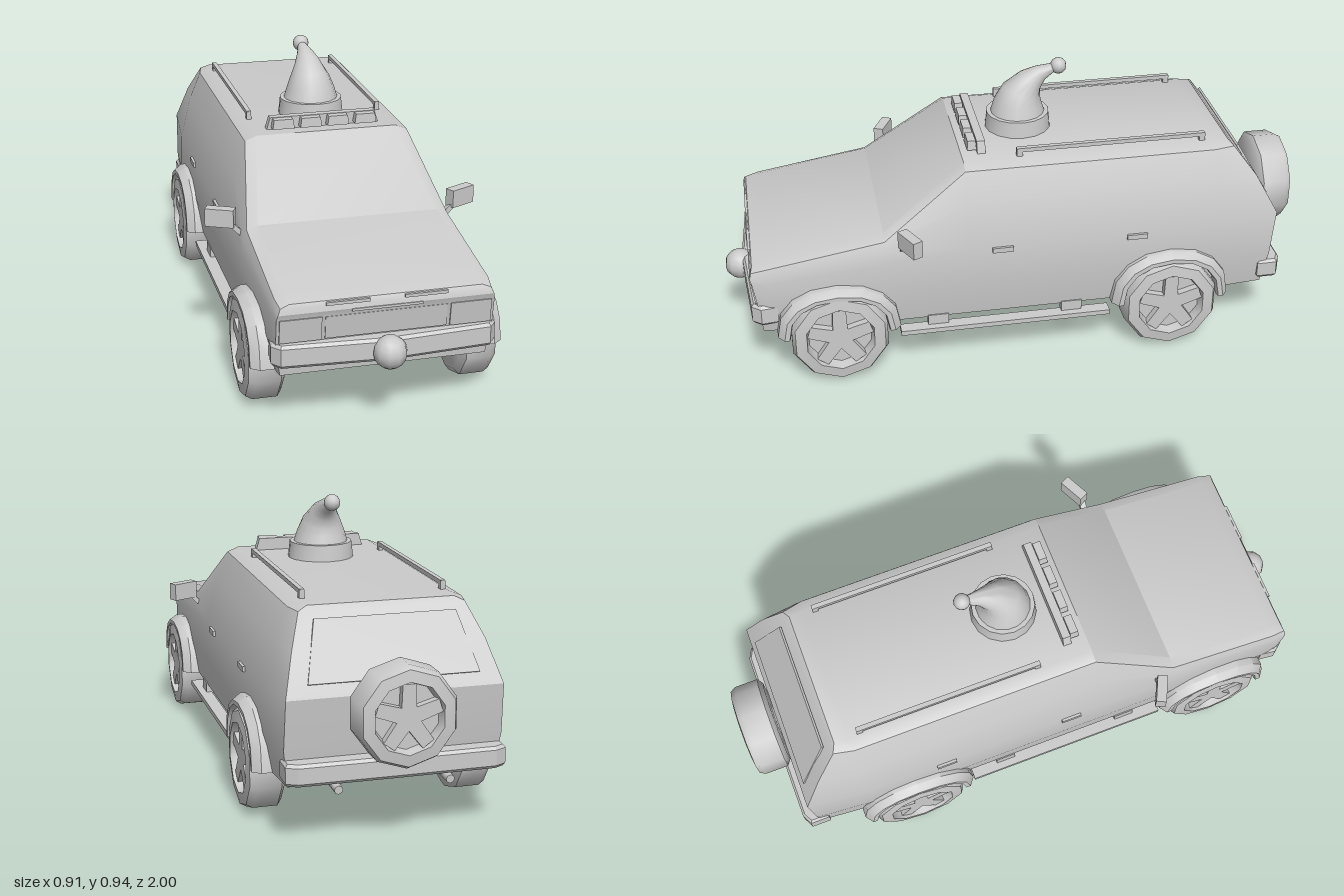
import * as THREE from 'three';
import { toCreasedNormals } from 'three/addons/utils/BufferGeometryUtils.js';

const mat = new THREE.MeshStandardMaterial({ color: 0xcccccc, side: THREE.DoubleSide });

function add(parent, name, geo, x = 0, y = 0, z = 0) {
  const mesh = new THREE.Mesh(geo, mat);
  mesh.name = name;
  mesh.position.set(x, y, z);
  parent.add(mesh);
  return mesh;
}
const box = (w, h, d) => new THREE.BoxGeometry(w, h, d);

// Skin over a list of rings with equal point counts; both ends are capped
function loft(rings, crease = 0.5) {
  const n = rings[0].length, idx = [];
  rings.slice(1).forEach((_, i) => {
    for (let j = 0; j < n; j++) {
      const a = i * n + j, b = i * n + (j + 1) % n;
      idx.push(a, b, b + n, a, b + n, a + n);
    }
  });
  const last = (rings.length - 1) * n;
  for (let j = 0; j < n / 2 - 1; j++) {
    const q = [j, j + 1, n - 2 - j, n - 1 - j];
    idx.push(q[0], q[2], q[1], q[0], q[3], q[2]);
    const [a, b, c, d] = q.map(v => v + last);
    idx.push(a, b, c, a, c, d);
  }
  const geo = new THREE.BufferGeometry();
  geo.setAttribute('position', new THREE.Float32BufferAttribute(rings.flat(2), 3));
  geo.setIndex(idx);
  return toCreasedNormals(geo, crease);
}

// Half section (+x side, bottom to top) mirrored into a full ring
const mirrorRing = half => [...half, ...half.slice().reverse().map(([x, y, z]) => [-x, y, z])];
const flatSection = (z, pts) => mirrorRing(pts.map(([x, y]) => [x, y, z]));

function makeBody() {
  const cabin = [[0.345, 0.18], [0.362, 0.3], [0.358, 0.44], [0.322, 0.59], [0.28, 0.69], [0.24, 0.706]];
  return loft([
    mirrorRing([[0.33, 0.18, -0.84], [0.345, 0.3, -0.86], [0.342, 0.46, -0.875],
      [0.305, 0.59, -0.805], [0.265, 0.69, -0.73], [0.235, 0.704, -0.715]]),
    flatSection(-0.66, cabin),
    flatSection(0.19, cabin),
    flatSection(0.47, [[0.345, 0.18], [0.36, 0.3], [0.355, 0.41], [0.347, 0.455], [0.335, 0.485], [0.3, 0.5]]),
    flatSection(0.86, [[0.33, 0.18], [0.347, 0.28], [0.345, 0.37], [0.342, 0.4], [0.335, 0.422], [0.3, 0.434]]),
    mirrorRing([[0.325, 0.18, 0.885], [0.34, 0.28, 0.895], [0.34, 0.375, 0.91],
      [0.336, 0.39, 0.915], [0.328, 0.41, 0.91], [0.3, 0.42, 0.905]]),
  ], 0.45);
}

// Wheel with its outer face towards +z
function makeWheel(name, r) {
  const g = new THREE.Group();
  g.name = name;
  const profile = [[0, -0.06], [0.88, -0.06], [1, -0.045], [1, 0.035], [0.93, 0.055],
    [0.7, 0.06], [0.65, 0.025], [0, 0.025]].map(([k, y]) => new THREE.Vector2(k * r, y));
  add(g, 'tyre', toCreasedNormals(new THREE.LatheGeometry(profile, 10).rotateX(Math.PI / 2), 0.8));
  const star = [];
  for (let i = 0; i < 5; i++) {
    for (const [da, k] of [[-0.2, 0.66], [0.2, 0.66], [Math.PI / 5, 0.25]]) {
      const a = Math.PI / 2 + i * Math.PI * 0.4 + da;
      star.push(new THREE.Vector2(Math.cos(a) * k * r, Math.sin(a) * k * r));
    }
  }
  add(g, 'spokes', new THREE.ExtrudeGeometry(new THREE.Shape(star), { depth: 0.03, bevelEnabled: false }), 0, 0, 0.02);
  return g;
}

// Flared arch over a wheel on one side
function makeArch(side, zc, rz, ry) {
  const section = [[0.33, 1], [0.375, 1], [0.402, 0.9], [0.402, 0.82], [0.39, 0.8], [0.33, 0.8]];
  const rings = [];
  for (let i = 0; i <= 8; i++) {
    const a = Math.PI * i / 8;
    // slightly squared-off curve
    const c = Math.sign(Math.cos(a)) * Math.abs(Math.cos(a)) ** 0.9, s = Math.sin(a) ** 0.85;
    rings.push(section.map(([x, k]) => [side * x, 0.18 + ry * k * s, zc + side * rz * k * c]));
  }
  return loft(rings.reverse(), 0.6);
}

// Bumper with swept-back ends; dir is +1 front, -1 rear
function makeBumper(dir, h, pts) {
  const plan = [...pts, ...pts.slice().reverse().map(([x, z]) => [-x, z])];
  const shape = new THREE.Shape(plan.map(([x, z]) => new THREE.Vector2(x, dir * z)));
  return new THREE.ExtrudeGeometry(shape, {
    depth: h - 0.02, bevelThickness: 0.01, bevelSize: 0.008, bevelSegments: 1,
  }).rotateX(Math.PI / 2).translate(0, h / 2 - 0.01, 0);
}

// Drooping cone: rings given by height, z, radius and backward tilt
function makeHat() {
  const rows = [[0.745, -0.035, 0.097, 0], [0.795, -0.037, 0.082, 0.1], [0.832, -0.048, 0.067, 0.3],
    [0.868, -0.08, 0.045, 0.75], [0.893, -0.115, 0.028, 1.0], [0.912, -0.165, 0.013, 1.2]];
  const n = 16;
  return loft(rows.map(([y, z, r, t]) => Array.from({ length: n }, (_, j) => {
    const a = (j + 0.5) / n * Math.PI * 2, v = Math.cos(a) * r;
    return [Math.sin(a) * r, y + v * Math.sin(t), z + v * Math.cos(t)];
  })), 0.9);
}

export function createModel() {
  const car = new THREE.Group();
  car.name = 'offRoadCar';
  add(car, 'body', makeBody());

  // Bumpers and round nose
  add(car, 'frontBumper', makeBumper(1, 0.075, [[0.34, 0.84], [0.345, 0.885], [0.325, 0.91], [0, 0.932]]), 0, 0.253);
  add(car, 'rearBumper', makeBumper(-1, 0.07, [[0.34, 0.83], [0.34, 0.885], [0.31, 0.9], [0, 0.902]]), 0, 0.235);
  add(car, 'nose', new THREE.SphereGeometry(0.053, 10, 8), 0, 0.25, 0.947);

  // Front panel details
  add(car, 'grille', box(0.38, 0.075, 0.012), 0, 0.333, 0.9).rotation.x = 0.12;
  add(car, 'grilleTrim', box(0.22, 0.008, 0.016), 0, 0.386, 0.91);
  // Rear window panel following the sloped tail
  const glass = new THREE.Shape([[-0.27, 0], [0.27, 0], [0.225, 0.2], [-0.225, 0.2]].map(p => new THREE.Vector2(...p)));
  add(car, 'rearWindow', new THREE.ExtrudeGeometry(glass, { depth: 0.008, bevelEnabled: false }),
    0, 0.5, -0.86).rotation.x = 0.53;

  for (const s of [1, -1]) {
    const side = new THREE.Group();
    side.name = s > 0 ? 'leftSide' : 'rightSide';
    car.add(side);

    // Wheels and arches
    for (const [name, z, rz, ry] of [['front', 0.635, 0.205, 0.168], ['rear', -0.5, 0.205, 0.185]]) {
      const wheel = makeWheel(name + 'Wheel', 0.168);
      wheel.position.set(s * 0.345, 0.165, z);
      wheel.rotation.y = s * Math.PI / 2;
      side.add(wheel);
      add(side, name + 'Arch', makeArch(s, z, rz, ry));
    }

    // Headlight and hood vent
    add(side, 'headlight', box(0.13, 0.078, 0.012), s * 0.266, 0.333, 0.902).rotation.x = 0.12;
    add(side, 'hoodVent', box(0.135, 0.01, 0.02), s * 0.122, 0.412, 0.905);

    // Running board on brackets
    add(side, 'sideStep', box(0.045, 0.017, 0.72), s * 0.353, 0.143, 0.07);
    for (const z of [0.3, -0.16]) add(side, 'stepBracket', box(0.03, 0.04, 0.07), s * 0.335, 0.168, z);

    // Door handles
    for (const z of [0.08, -0.38]) add(side, 'doorHandle', box(0.014, 0.018, 0.07), s * 0.36, 0.43, z);

    // Door mirror on a short arm
    add(side, 'mirror', box(0.095, 0.06, 0.035), s * 0.405, 0.511, 0.393).rotation.y = s * 0.45;
    const arm = add(side, 'mirrorArm', box(0.05, 0.016, 0.022), s * 0.357, 0.472, 0.41);
    arm.rotation.z = s * 0.8;

    // Roof rail with feet
    add(side, 'roofRail', box(0.016, 0.014, 0.64), s * 0.228, 0.728, -0.312);
    for (const z of [0, -0.625]) add(side, 'railFoot', box(0.016, 0.035, 0.02), s * 0.228, 0.716, z);

    // Exhaust pipe
    const pipe = add(side, 'exhaust', new THREE.CylinderGeometry(0.014, 0.021, 0.21, 8), s * 0.178, 0.173, -0.765);
    pipe.rotation.x = -Math.PI / 2 - 0.06;

    // Roof lamps
    for (const x of [0.047, 0.142]) {
      const lamp = new THREE.CylinderGeometry(0.046, 0.053, 0.032, 4, 1).rotateY(Math.PI / 4);
      add(side, 'roofLamp', toCreasedNormals(lamp, 0.3), s * x, 0.73, 0.152).scale.z = 0.42;
    }
  }

  // Roof lamp bar
  const bar = new THREE.Shape([[-0.195, 0], [0.195, 0], [0.182, 0.045], [-0.182, 0.045]].map(p => new THREE.Vector2(...p)));
  add(car, 'lampBar', new THREE.ExtrudeGeometry(bar, { depth: 0.028, bevelEnabled: false }), 0, 0.702, 0.108);

  // Spare wheel on the tailgate
  const spare = makeWheel('spareWheel', 0.16);
  spare.position.set(0, 0.415, -0.94);
  spare.rotation.y = Math.PI;
  car.add(spare);
  add(car, 'spareMount', box(0.08, 0.08, 0.06), 0, 0.415, -0.87);

  // Pointed hat with brim and bobble
  const hat = new THREE.Group();
  hat.name = 'hat';
  car.add(hat);
  const brim = new THREE.CylinderGeometry(0.107, 0.113, 0.055, 16);
  add(hat, 'hatBrim', toCreasedNormals(brim, 0.6), 0, 0.733, -0.035);
  add(hat, 'hatCone', makeHat());
  add(hat, 'hatBobble', new THREE.SphereGeometry(0.028, 12, 8), 0, 0.914, -0.176);
  return car;
}
